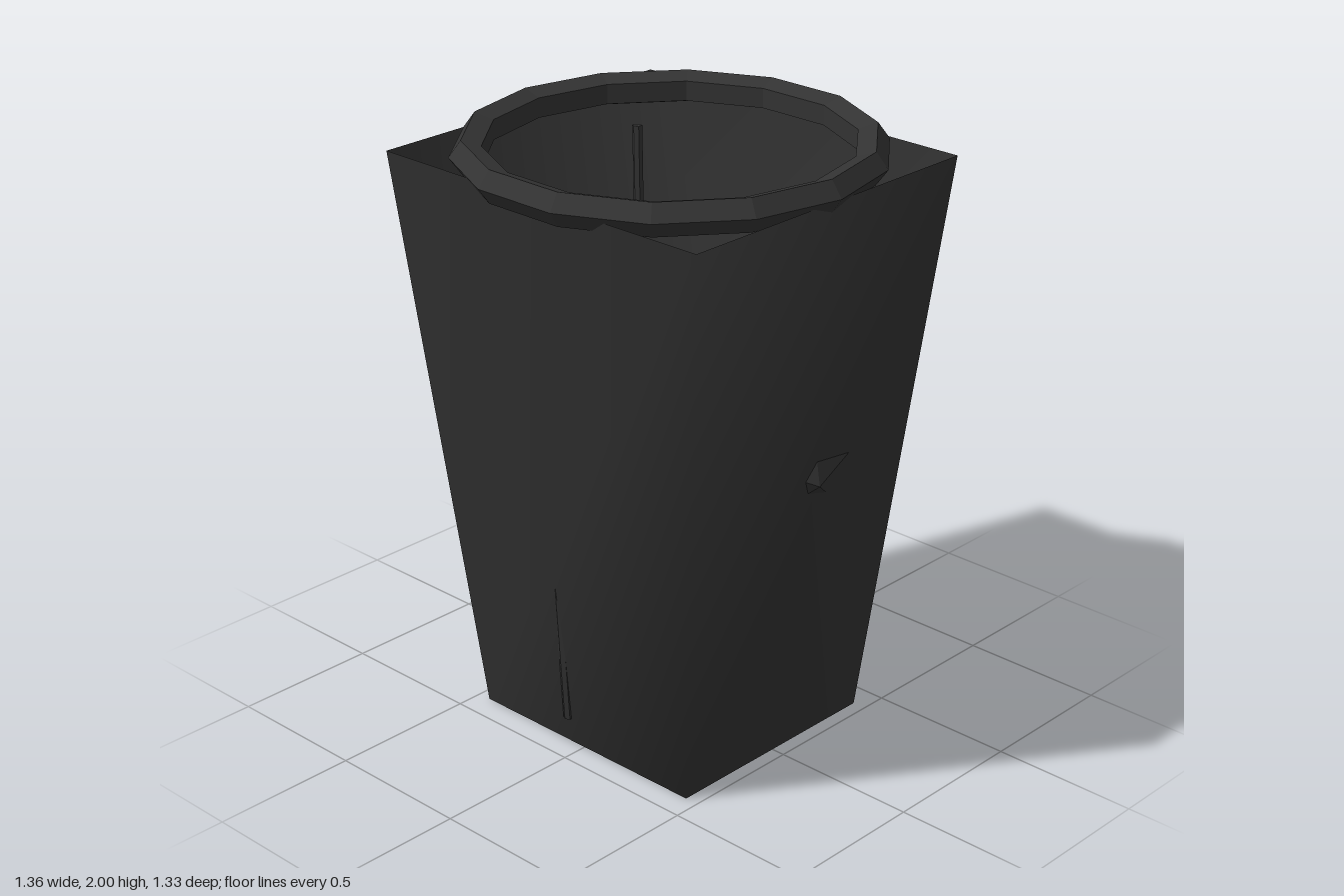
import * as THREE from 'three';

const TOP = 1.93;

// Flat facets: split shared corners and recompute the normals.
function facet(geometry) {
  const flat = geometry.index ? geometry.toNonIndexed() : geometry;
  flat.computeVertexNormals();
  return flat;
}

// Tapered open-topped rectangular tub with shared, softly shaded corners.
function tubGeometry() {
  const corners = [[1, 1], [1, -1], [-1, -1], [-1, 1]];
  const positions = [];
  for (const [hx, y, hz] of [[0.453, 0, 0.41], [0.65, TOP, 0.585]]) {
    for (const [sx, sz] of corners) positions.push(sx * hx, y, sz * hz);
  }
  const index = [0, 3, 2, 0, 2, 1];
  for (let i = 0; i < 4; i++) {
    const j = (i + 1) % 4;
    index.push(i, j, j + 4, i, j + 4, i + 4);
  }
  const geometry = new THREE.BufferGeometry();
  geometry.setAttribute('position', new THREE.Float32BufferAttribute(positions, 3));
  geometry.setIndex(index);
  geometry.computeVertexNormals();
  return geometry;
}

export function createModel() {
  const group = new THREE.Group();
  group.name = 'openBin';
  const charcoal = new THREE.MeshStandardMaterial({ color: 0x333333, side: THREE.DoubleSide });
  charcoal.name = 'charcoal';

  const add = (name, geometry) => {
    const mesh = new THREE.Mesh(geometry, charcoal);
    mesh.name = name;
    group.add(mesh);
    return mesh;
  };

  // Body
  add('body', tubGeometry());

  // Faceted ring around the mouth
  const rim = new THREE.TorusGeometry(0.626, 0.056, 5, 14).rotateX(Math.PI / 2);
  add('rim', facet(rim)).position.y = 1.947;

  // Round plate on the floor
  add('floorPlate', facet(new THREE.CylinderGeometry(0.38, 0.38, 0.04, 12))).position.y = 0.025;

  // Three thin ribs leaning outward along the walls
  const up = new THREE.Vector3(0, 1, 0);
  for (let i = 0; i < 3; i++) {
    const a = THREE.MathUtils.degToRad(98 + i * 120);
    const at = (r, y) => new THREE.Vector3(1.11 * r * Math.cos(a), y, r * Math.sin(a));
    const low = at(0.421, 0.09);
    const high = at(0.525, 1.84);
    const span = high.clone().sub(low);
    const rib = add('rib', facet(new THREE.CylinderGeometry(0.017, 0.017, span.length(), 6)));
    rib.position.copy(low).add(high).multiplyScalar(0.5);
    rib.quaternion.setFromUnitVectors(up, span.normalize());
  }

  // Angular lump lodged in the side wall
  const lump = new THREE.IcosahedronGeometry(1, 0);
  lump.rotateX(0.35).rotateY(0.2).scale(0.137, 0.16, 0.185);
  add('lump', facet(lump)).position.set(0.455, 1.0, -0.11);

  return group;
}
